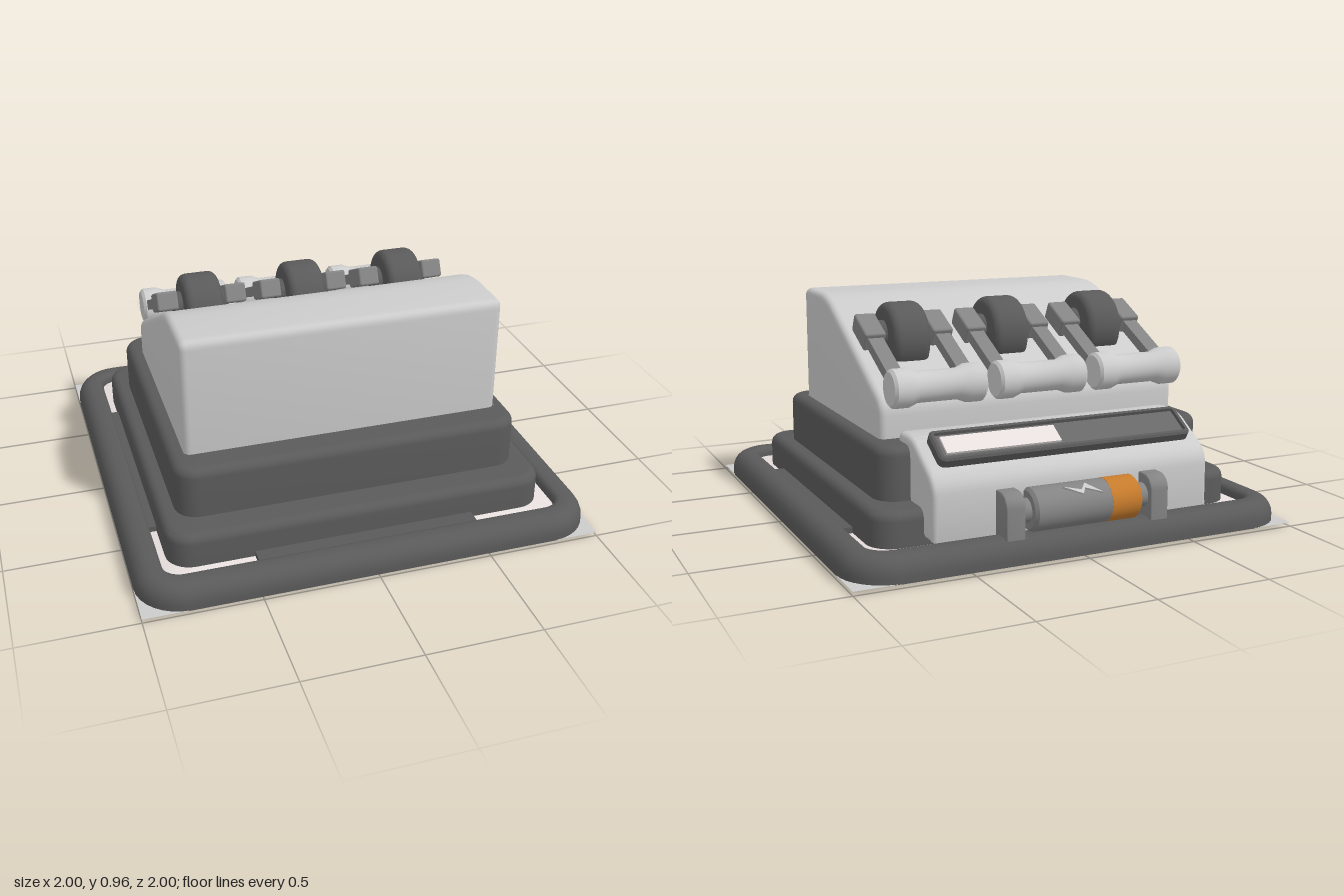
import * as THREE from 'three';
import { toCreasedNormals } from 'three/addons/utils/BufferGeometryUtils.js';
import { RoundedBoxGeometry } from 'three/addons/geometries/RoundedBoxGeometry.js';

const mat = (color, side = THREE.FrontSide) => new THREE.MeshStandardMaterial({ color, side });
const light = mat(0xcccccc), dark = mat(0x5a5a5a), mid = mat(0x848484);
const pale = mat(0xe6dfdd), orange = mat(0xc87c2c), padMat = mat(0x707070);

function add(parent, name, geo, material, x = 0, y = 0, z = 0) {
  const m = new THREE.Mesh(geo, material);
  m.name = name;
  m.position.set(x, y, z);
  parent.add(m);
  return m;
}

// Rounded rectangle (half sizes hw, hd, corner r) swept through [inset, y] steps
function loft(hw, hd, r, profile, seg = 8) {
  const loops = profile.map(([inset, y]) => {
    const rr = Math.max(0, r - inset), w = Math.max(0, hw - inset - rr), d = Math.max(0, hd - inset - rr);
    const pts = [];
    for (let q = 0; q < 4; q++) {
      const sx = q === 0 || q === 3 ? 1 : -1, sz = q < 2 ? 1 : -1;
      for (let i = 0; i <= seg; i++) {
        const a = (q + i / seg) * Math.PI / 2;
        pts.push([sx * w + rr * Math.cos(a), y, sz * d + rr * Math.sin(a)]);
      }
    }
    return pts;
  });
  const pos = [];
  for (let i = 0; i < loops.length - 1; i++) {
    const lo = loops[i], hi = loops[i + 1], n = lo.length;
    for (let j = 0; j < n; j++) {
      const k = (j + 1) % n;
      pos.push(...lo[j], ...hi[j], ...lo[k], ...lo[k], ...hi[j], ...hi[k]);
    }
  }
  const g = new THREE.BufferGeometry();
  g.setAttribute('position', new THREE.Float32BufferAttribute(pos, 3));
  g.computeVertexNormals();
  return toCreasedNormals(g, 0.6);
}

// Quarter-round edge as [inset, y] steps
function roundEdge(rx, ry, top, n = 6) {
  return Array.from({ length: n + 1 }, (_, i) => {
    const a = i / n * Math.PI / 2;
    return [rx * (1 - Math.cos(a)), top - ry * (1 - Math.sin(a))];
  });
}

// Closed slab with a rounded top edge
const slab = (hw, hd, r, y0, y1, e) =>
  loft(hw, hd, r, [[2, y0], [0, y0], ...roundEdge(e, e, y1), [2, y1]]);

// Side profile of [z, y, corner radius], extruded across the width
function wedge(pts, width, bevel) {
  const s = new THREE.Shape(), n = pts.length;
  pts.forEach(([z, y, r], i) => {
    const toward = (q) => {
      const dz = q[0] - z, dy = q[1] - y, l = Math.hypot(dz, dy);
      return [z + dz / l * r, y + dy / l * r];
    };
    const a = toward(pts[(i + n - 1) % n]), b = toward(pts[(i + 1) % n]);
    if (i === 0) s.moveTo(...a); else s.lineTo(...a);
    s.quadraticCurveTo(z, y, ...b);
  });
  s.closePath();
  const g = new THREE.ExtrudeGeometry(s, {
    depth: width - 2 * bevel, bevelThickness: bevel, bevelSize: bevel,
    bevelOffset: -bevel, bevelSegments: 4, curveSegments: 6
  });
  g.translate(0, 0, bevel - width / 2).rotateY(-Math.PI / 2);
  return toCreasedNormals(g, 0.6);
}

// Lathe around the x axis from [radius, x] points
function latheX(pts) {
  const g = new THREE.LatheGeometry(pts.map(([r, x]) => new THREE.Vector2(r, x)), 36);
  return toCreasedNormals(g.rotateZ(-Math.PI / 2).toNonIndexed(), 0.6);
}

const rodX = (r, len) => new THREE.CylinderGeometry(r, r, len, 28).rotateZ(Math.PI / 2);

function makeBase(root) {
  const base = new THREE.Group();
  base.name = 'base';
  root.add(base);
  add(base, 'groundSheet', new THREE.PlaneGeometry(2, 2).rotateX(-Math.PI / 2), light, 0, 0.017);
  add(base, 'underside', new THREE.PlaneGeometry(2, 2).rotateX(Math.PI / 2), dark, 0, 0.013);
  add(base, 'outerRing', loft(1, 1, 0.2, [[0, 0.015], ...roundEdge(0.07, 0.08, 0.12),
    ...roundEdge(0.03, 0.03, 0.12, 4).reverse().map(([i, y]) => [0.125 - i, y]), [0.125, 0.015]]), dark);
  // Pale strip in the gap, hidden by dark bars along the middle of each side
  add(base, 'glowStrip', slab(0.89, 0.89, 0.1, 0.02, 0.075, 0.005), pale);
  for (const s of [-1, 1]) {
    add(base, 'sideBar', new THREE.BoxGeometry(0.08, 0.08, 1.02), dark, s * 0.85, 0.06, 0);
    add(base, 'endBar', new THREE.BoxGeometry(0.97, 0.08, 0.1), dark, 0, 0.06, s * 0.83);
  }
  // Corner feet
  for (const sx of [-1, 1]) for (const sz of [-1, 1]) {
    const s = new THREE.Shape();
    s.moveTo(sx * 0.87, sz * 0.44);
    s.lineTo(sx * 0.87, sz * 0.72);
    s.quadraticCurveTo(sx * 0.87, sz * 0.81, sx * 0.78, sz * 0.81);
    s.lineTo(sx * 0.49, sz * 0.81);
    s.lineTo(sx * 0.53, sz * 0.68);
    s.lineTo(sx * 0.72, sz * 0.44);
    const g = new THREE.ExtrudeGeometry(s, { depth: 0.015, bevelEnabled: false });
    add(base, 'foot', g.rotateX(Math.PI / 2), padMat, 0, 0.015, 0);
  }
  add(base, 'lowerTier', slab(0.838, 0.79, 0.11, 0.02, 0.222, 0.04), dark, -0.007, 0, 0.015);
  add(base, 'upperTier', slab(0.765, 0.653, 0.1, 0.2, 0.445, 0.04), dark, -0.01, 0, 0.017);
}

function makeLever(root, x) {
  const unit = new THREE.Group();
  unit.name = 'leverUnit';
  unit.position.x = x;
  root.add(unit);
  const edge = roundEdge(0.035, 0.035, 0.085, 5).map(([i, w]) => [0.157 - i, w]);
  const rim = edge.map(([r, w]) => [r, -w]).reverse();
  add(unit, 'wheel', latheX([[0, -0.085], ...rim, ...edge, [0, 0.085]]), dark, 0, 0.803, -0.12);
  add(unit, 'axle', rodX(0.06, 0.24), dark, 0, 0.825, -0.125);
  // Tilted arms carrying the grip
  const arms = new THREE.Group();
  arms.name = 'arms';
  arms.position.set(0, 0.84, -0.14);
  arms.rotation.x = -0.455;
  unit.add(arms);
  for (const s of [-1, 1]) {
    add(arms, 'armBlock', new RoundedBoxGeometry(0.095, 0.085, 0.165, 2, 0.01), mid, s * 0.155, 0, 0);
    add(arms, 'arm', new THREE.BoxGeometry(0.068, 0.045, 0.36), mid, s * 0.155, 0, -0.21);
  }
  add(arms, 'grip', latheX([[0, -0.205], [0.07, -0.205], [0.082, -0.193], [0.082, -0.13], [0.066, -0.09],
    [0.066, 0.09], [0.082, 0.13], [0.082, 0.193], [0.07, 0.205], [0, 0.205]]), light, 0, 0, -0.412);
}

function makeConsole(root) {
  const con = new THREE.Group();
  con.name = 'rearConsole';
  root.add(con);
  add(con, 'consoleBody', wedge([[-0.5, 0.1, 0.01], [-0.5, 0.483, 0.03], [-0.65, 0.483, 0.05],
    [-0.87, 0.35, 0.06], [-0.875, 0.1, 0.01]], 1.27, 0.025), light, -0.01);
  // Sloping display
  const display = new THREE.Group();
  display.name = 'display';
  display.position.set(-0.01, 0.44, -0.735);
  display.rotation.x = -0.55;
  con.add(display);
  add(display, 'displayFrame', loft(0.58, 0.086, 0.03,
    [[0, -0.03], [0, 0.028], [0.008, 0.036], [0.02, 0.036], [0.024, 0.02]]), dark);
  add(display, 'displayPanel', new THREE.BoxGeometry(1.13, 0.04, 0.14), mat(0x686868), 0, 0.003, 0);
  add(display, 'displayBar', new THREE.BoxGeometry(0.51, 0.012, 0.092), pale, 0.285, 0.027, 0);
  // Power cell between two brackets
  const cell = new THREE.Group();
  cell.name = 'powerCell';
  cell.position.set(0, 0.205, -0.9);
  con.add(cell);
  add(cell, 'cellBody', latheX([[0, -0.12], [0.09, -0.12], [0.09, 0.222], [0.077, 0.235], [0, 0.235]]), mid);
  add(cell, 'cellCap', latheX([[0, -0.255], [0.077, -0.255], [0.091, -0.242], [0.091, -0.11], [0, -0.11]]), orange);
  add(cell, 'cellPin', rodX(0.05, 0.6), mid, -0.015, 0, 0);
  for (const x of [-0.343, 0.315])
    add(cell, 'bracket', wedge([[-0.07, -0.1, 0.005], [-0.07, 0.06, 0.03], [-0.03, 0.09, 0.02],
      [0.05, 0.09, 0.005], [0.05, -0.1, 0.005]], 0.085, 0.008), mid, x, 0, 0);
  // Zigzag mark
  const zig = new THREE.Shape([[-0.08, 0.03], [0.0, -0.012], [0.015, 0.014], [0.09, -0.016],
    [0.02, 0.036], [-0.002, 0.008]].map(([x, y]) => new THREE.Vector2(x, y)));
  const mark = add(cell, 'zigzag', new THREE.ExtrudeGeometry(zig, { depth: 0.015, bevelEnabled: false }),
    light, 0.02, 0.06, -0.06);
  mark.rotation.set(-Math.PI * 0.75, 0, Math.PI, 'XYZ');
}

export function createModel() {
  const root = new THREE.Group();
  root.name = 'leverConsole';
  makeBase(root);
  add(root, 'housing', wedge([[0.535, 0.42, 0.01], [0.535, 0.965, 0.04], [0.22, 0.965, 0.09],
    [-0.48, 0.6, 0.06], [-0.48, 0.42, 0.01]], 1.405, 0.03), light, -0.008);
  for (const x of [-0.484, -0.011, 0.459]) makeLever(root, x);
  makeConsole(root);
  return root;
}
